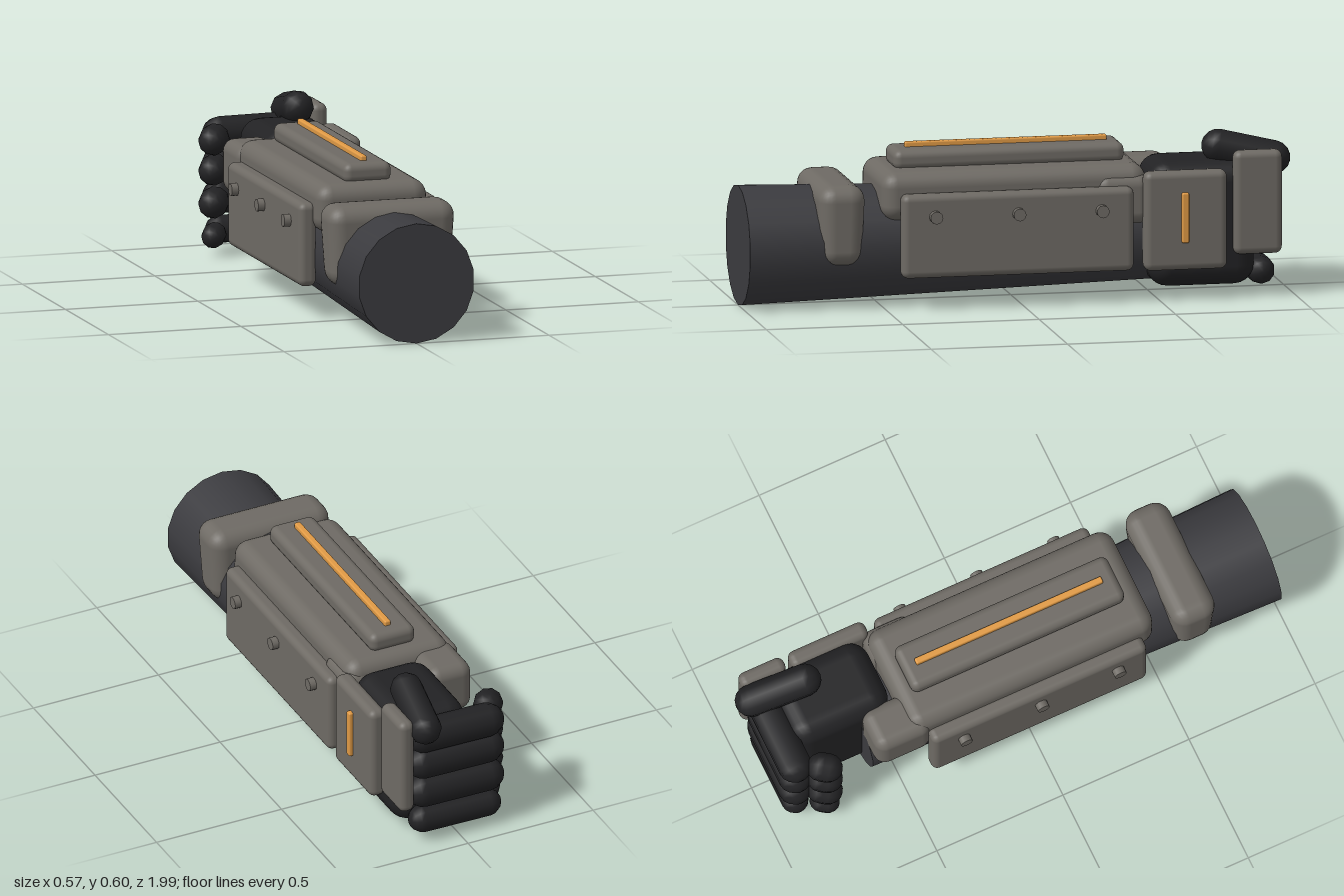
import * as THREE from 'three';
import { RoundedBoxGeometry } from 'three/addons/geometries/RoundedBoxGeometry.js';

const sleeve = new THREE.MeshStandardMaterial({ color: 0x3b3b3f });
const glove = new THREE.MeshStandardMaterial({ color: 0x222224 });
const armour = new THREE.MeshStandardMaterial({ color: 0x6e6a64 });
const amber = new THREE.MeshStandardMaterial({ color: 0xe09a45 });

export function createModel() {
  const model = new THREE.Group();
  model.name = 'gauntletArm';

  const add = (name, geometry, material) => {
    const mesh = new THREE.Mesh(geometry, material);
    mesh.name = name;
    model.add(mesh);
    return mesh;
  };

  // Rounded block given by its extents; taper scales the lower end in x and z
  const block = (name, material, [x0, x1], [y0, y1], [z0, z1], radius, taperX = 1, taperZ = 1) => {
    const h = y1 - y0;
    const geometry = new RoundedBoxGeometry(x1 - x0, h, z1 - z0, 3, radius);
    const p = geometry.attributes.position;
    for (let i = 0; i < p.count; i++) {
      const t = 0.5 - p.getY(i) / h;
      p.setX(i, p.getX(i) * (1 + (taperX - 1) * t));
      p.setZ(i, p.getZ(i) * (1 + (taperZ - 1) * t));
    }
    const mesh = add(name, geometry, material);
    mesh.position.set((x0 + x1) / 2, (y0 + y1) / 2, (z0 + z1) / 2);
    return mesh;
  };

  // Round-ended limb between two end centres
  const limb = (name, a, b, radius) => {
    const from = new THREE.Vector3(...a), to = new THREE.Vector3(...b);
    const mesh = add(name, new THREE.CapsuleGeometry(radius, from.distanceTo(to), 4, 10), glove);
    mesh.position.copy(from).lerp(to, 0.5);
    mesh.quaternion.setFromUnitVectors(new THREE.Vector3(0, 1, 0), to.sub(from).normalize());
    return mesh;
  };

  // Forearm, narrowing to the wrist
  const arm = add('forearm', new THREE.CylinderGeometry(0.219, 0.175, 1.6, 18).rotateX(Math.PI / 2), sleeve);
  arm.position.set(0, 0.221, 0.2);

  // Elbow band and top shell
  block('elbowBand', armour, [-0.243, 0.243], [0.16, 0.46], [0.572, 0.748], 0.06, 0.92, 0.85);
  block('topShell', armour, [-0.208, 0.208], [0.32, 0.496], [-0.46, 0.51], 0.055, 1.03, 1);
  block('dorsalPlate', armour, [-0.09, 0.09], [0.485, 0.558], [-0.4, 0.445], 0.028);
  block('dorsalLight', amber, [-0.012, 0.012], [0.55, 0.576], [-0.35, 0.39], 0.006);

  // Side plates with studs
  for (const side of [-1, 1]) {
    const label = side > 0 ? 'left' : 'right';
    const xs = side > 0 ? [0.195, 0.262] : [-0.262, -0.195];
    block(label + 'SidePlate', armour, xs, [0.12, 0.425], [-0.4, 0.45], 0.025);
    for (const z of [0.33, 0.025, -0.28]) {
      const stud = add(label + 'Stud', new THREE.CylinderGeometry(0.023, 0.023, 0.05, 12).rotateZ(Math.PI / 2), armour);
      stud.position.set(side * 0.262, 0.345, z);
    }
  }

  // Wrist pads
  block('rightWristPad', armour, [-0.222, -0.05], [0.28, 0.475], [-0.6, -0.38], 0.045);
  block('leftWristPad', armour, [0.08, 0.225], [0.28, 0.462], [-0.47, -0.27], 0.045);

  // Hand plates and light on the back of the hand
  block('wristPlate', armour, [0.195, 0.262], [0.115, 0.476], [-0.742, -0.438], 0.026);
  block('wristLight', amber, [0.25, 0.277], [0.217, 0.4], [-0.598, -0.572], 0.006);
  block('knucklePlate', armour, [0.183, 0.243], [0.16, 0.538], [-0.948, -0.77], 0.026);

  // Palm
  block('palm', glove, [-0.08, 0.215], [0.04, 0.497], [-0.86, -0.47], 0.075);

  // Curled fingers, stacked from little finger to index
  [0.08, 0.2, 0.32, 0.43].forEach((y, i) => {
    const r = i === 0 ? 0.051 : 0.062;
    limb('finger', [0.13, y + 0.003, -0.89], [-0.13, y, -0.89], r);
    limb('fingertip', [-0.175, y, -0.805], [-0.187, y - 0.005, -0.785], r - 0.008);
  });

  // Thumb lying over the fist
  limb('thumb', [0.115, 0.54, -0.735], [0.14, 0.495, -0.935], 0.06);

  return model;
}
